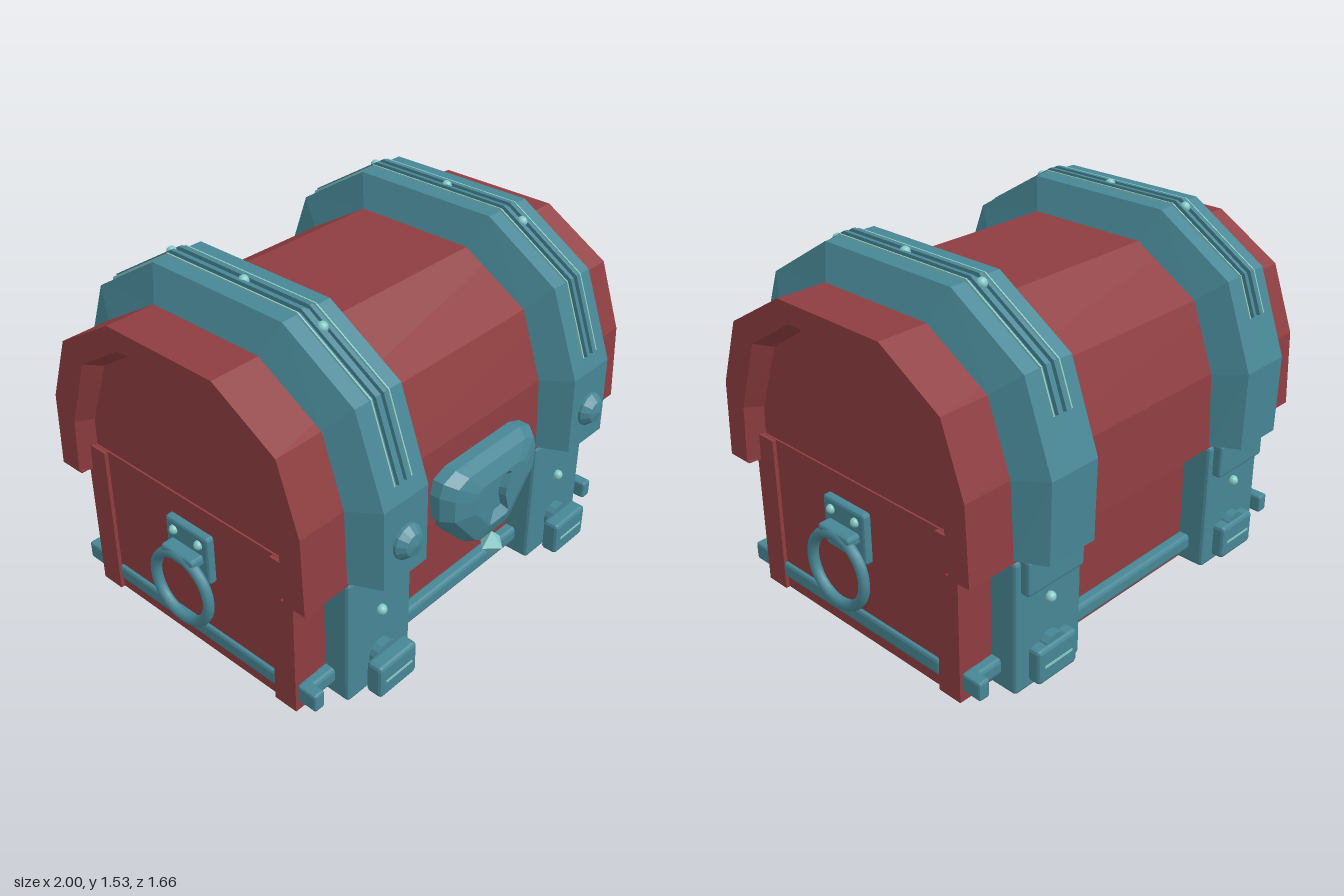
import * as THREE from 'three';
import { RoundedBoxGeometry } from 'three/addons/geometries/RoundedBoxGeometry.js';

const mat = (name, color) => {
  const m = new THREE.MeshStandardMaterial({ color });
  m.name = name;
  return m;
};

// faceted normals
function flat(geo) {
  const g = geo.index ? geo.toNonIndexed() : geo;
  g.computeVertexNormals();
  return g;
}

// skin between cross-sections [x, [[z, y], ...]], run from +z over the top to -z
function loft(rings, { closed = true, caps = true } = {}) {
  const pos = [];
  const tri = (...p) => p.forEach(v => pos.push(...v));
  const R = rings.map(([x, pts]) => pts.map(([z, y]) => [x, y, z]));
  const n = R[0].length;
  for (let i = 0; i < R.length - 1; i++) {
    for (let j = 0; j < (closed ? n : n - 1); j++) {
      const k = (j + 1) % n;
      tri(R[i][j], R[i + 1][j], R[i + 1][k]);
      tri(R[i][j], R[i + 1][k], R[i][k]);
    }
  }
  if (caps) {
    const center = r => [0, 1, 2].map(a => r.reduce((s, p) => s + p[a], 0) / n);
    const first = R[0], last = R[R.length - 1];
    for (let j = 0; j < n; j++) {
      const k = (j + 1) % n;
      tri(center(first), first[j], first[k]);
      tri(center(last), last[k], last[j]);
    }
  }
  const g = new THREE.BufferGeometry();
  g.setAttribute('position', new THREE.Float32BufferAttribute(pos, 3));
  g.computeVertexNormals();
  return g;
}

const mirrored = half => [...half, ...half.slice().reverse().map(([u, v]) => [-u, v])];

export function createModel() {
  const red = mat('red wood', 0x8f3d40);
  const teal = mat('teal metal', 0x478695);
  const pale = mat('pale metal', 0x84c8c6);
  const chest = new THREE.Group();
  chest.name = 'chest';

  const add = (name, geo, material, x = 0, y = 0, z = 0) => {
    const m = new THREE.Mesh(geo, material);
    m.name = name;
    m.position.set(x, y, z);
    chest.add(m);
    return m;
  };
  // box given by its limits, with an optional chamfer
  const box = (name, material, x0, x1, y0, y1, z0, z1, bevel = 0) => {
    const s = [Math.abs(x1 - x0), y1 - y0, Math.abs(z1 - z0)];
    const geo = bevel ? flat(new RoundedBoxGeometry(...s, 1, bevel)) : new THREE.BoxGeometry(...s);
    return add(name, geo, material, (x0 + x1) / 2, (y0 + y1) / 2, (z0 + z1) / 2);
  };
  const rivet = (name, x, y, z, r = 0.022) =>
    add(name, new THREE.SphereGeometry(r, 12, 8), pale, x, y, z);

  // body with raised corner posts
  box('body', red, -0.903, 0.903, 0.005, 0.7, 0.545, -0.595);
  for (const s of [-1, 1]) {
    box('frontPost', red, s * 0.8, s * 0.92, 0.003, 0.698, 0.44, 0.55);
    box('backPost', red, s * 0.8, s * 0.92, 0.003, 0.698, -0.49, -0.6);
  }

  // arched lid with recessed ends
  const lid = [[0.66, 0.58], [0.645, 0.91], [0.545, 1.195], [0.25, 1.37],
    [-0.3, 1.37], [-0.59, 1.195], [-0.695, 0.91], [-0.71, 0.58]];
  const rim = [[0.555, 0.58], [0.54, 0.83], [0.435, 1.135], [0.2, 1.285],
    [-0.25, 1.285], [-0.485, 1.135], [-0.59, 0.83], [-0.605, 0.58]];
  const panel = [[0.52, 0.58], [0.51, 0.82], [0.4, 1.11], [0.19, 1.25],
    [-0.24, 1.25], [-0.45, 1.11], [-0.56, 0.82], [-0.57, 0.58]];
  add('lid', loft([[-0.895, panel], [-0.97, rim], [-0.97, lid],
    [0.97, lid], [0.97, rim], [0.895, panel]], { closed: false }), red);
  box('lidUnderside', red, -0.895, 0.895, 0.58, 0.588, 0.659, -0.709);
  for (const s of [-1, 1]) {
    box('lidRimBottom', red, s * 0.89, s * 0.969, 0.58, 0.588, 0.54, 0.659);
    box('lidRimBottom', red, s * 0.89, s * 0.969, 0.58, 0.588, -0.59, -0.709);
  }

  const strap = [[0.78, 0.592], [0.775, 0.93], [0.64, 1.295], [0.31, 1.5],
    [-0.36, 1.5], [-0.70, 1.285], [-0.83, 0.93], [-0.825, 0.592]];
  const strapBase = lid.map(([z, y], i) => [z, i % 7 ? y : 0.592]);
  const trim = [[0.755, 1.0], [0.645, 1.3], [0.31, 1.506],
    [-0.36, 1.506], [-0.705, 1.29], [-0.765, 1.13]];

  for (const s of [-1, 1]) {
    const c = s * 0.575;

    // lid strap with sloped flanks
    add('lidStrap', loft([[c - 0.178, strapBase], [c - 0.118, strap],
      [c + 0.118, strap], [c + 0.178, strapBase]], { caps: false }), teal);

    // raised trim and fine lines along the strap
    for (let i = 0; i < trim.length - 1; i++) {
      const [z0, y0] = trim[i], [z1, y1] = trim[i + 1];
      const len = Math.hypot(z1 - z0, y1 - y0) + 0.006;
      for (const [dx, w, h, m] of [[-0.02, 0.016, 0.02, teal], [0.02, 0.016, 0.02, teal],
        [-0.045, 0.006, 0.009, pale], [0.045, 0.006, 0.009, pale]]) {
        const bar = add('strapTrim', new THREE.BoxGeometry(w, h, len), m,
          c + dx, (y0 + y1) / 2, (z0 + z1) / 2);
        bar.rotation.x = Math.atan2(y1 - y0, z0 - z1);
      }
    }
    for (const [z, y] of [[0.385, 1.462], [0, 1.505], [-0.39, 1.49]]) rivet('strapRivet', c, y, z);

    // domed stud
    const stud = add('stud', flat(new THREE.LatheGeometry(
      [[0.072, -0.02], [0.072, 0.015], [0.045, 0.045], [0, 0.055]]
        .map(p => new THREE.Vector2(...p)), 14)), teal, c, 0.75, 0.775);
    stud.rotation.x = Math.PI / 2;

    // lower strap round the body
    box('lowerStrap', teal, c - 0.178, c + 0.178, 0, 0.579, 0.663, -0.718, 0.015);

    // clips, discs and rivets on both faces
    for (const [face, d] of [[0.663, 1], [-0.718, -1]]) {
      const out = face + d * (d > 0 ? 0.1 : 0.052);
      box('clip', teal, c - 0.105, c + 0.105, 0.03, 0.18, face + d * (d > 0 ? 0.025 : -0.02), out, 0.015);
      box('clipSlot', pale, c - 0.075, c + 0.075, 0.098, 0.108, out - d * 0.003, out + d * 0.003);
      const disc = add('clipDisc', flat(new THREE.CylinderGeometry(0.06, 0.06, 0.05, 14)),
        teal, c, 0.15, face + d * 0.012);
      disc.rotation.x = Math.PI / 2;
      rivet('lowerRivet', c, 0.36, face + d * 0.008);
    }
    rivet('lowerRivet', c, 0.53, 0.67);
    box('hinge', teal, c - 0.15, c + 0.15, 0.44, 0.592, -0.7, -0.757, 0.012);

    // side rail
    box('sideRail', teal, s * 0.88, s * 0.918, 0.058, 0.13, 0.48, -0.488, 0.014);

    // ring handle with mounting plate
    box('handlePlate', teal, s * 0.89, s * 0.935, 0.38, 0.6, -0.12, 0.12, 0.012);
    box('handleBracket', teal, s * 0.92, s * 0.992, 0.465, 0.51, -0.09, 0.09, 0.012);
    const ring = add('handleRing', new THREE.TorusGeometry(0.152, 0.023, 10, 32),
      teal, s * 0.976, 0.336, 0);
    ring.rotation.y = Math.PI / 2;
    for (const z of [-0.07, 0.07]) rivet('handleRivet', s * 0.936, 0.555, z, 0.02);
  }

  // front and back rails, rods and end blocks
  for (const [face, d] of [[0.545, 1], [-0.595, -1]]) {
    box('rail', teal, -0.9, 0.9, 0.06, 0.13, face - d * 0.01, face + d * 0.05, 0.015);
    for (const s of [-1, 1])
      box('railEnd', teal, s * 0.86, s * 0.912, 0.055, 0.135, face + d * 0.005, face + d * 0.1, 0.01);
    const rod = add('rod', new THREE.CylinderGeometry(0.017, 0.017, 0.9, 10), teal, 0, 0.557, face + d * 0.02);
    rod.rotation.z = Math.PI / 2;
  }

  // lock plate with sunken keyhole
  const plate = mirrored([[0.09, 0.41], [0.13, 0.435], [0.285, 0.62], [0.29, 0.73], [0.27, 0.785], [0.2, 0.81]]);
  const key = mirrored([[0.05, 0.51], [0.06, 0.52], [0.035, 0.6], [0.035, 0.64], [0.065, 0.7], [0.05, 0.715]]);
  const scaled = (pts, k) => pts.map(([u, v]) => [u * k, 0.62 + (v - 0.62) * k]);
  const lock = add('lock', loft([[0.6, plate], [0.7, plate], [0.748, scaled(plate, 0.88)],
    [0.775, scaled(plate, 0.55)], [0.775, key], [0.745, scaled(key, 0.75)]]), teal);
  lock.rotation.y = -Math.PI / 2;

  // hanging gem and small red diamond on the front
  add('gem', new THREE.OctahedronGeometry(0.057), pale, 0, 0.375, 0.745);
  const diamond = add('redDiamond', new THREE.OctahedronGeometry(0.055), red, 0.125, 0.34, 0.55);
  diamond.scale.set(1, 0.75, 0.4);

  return chest;
}
